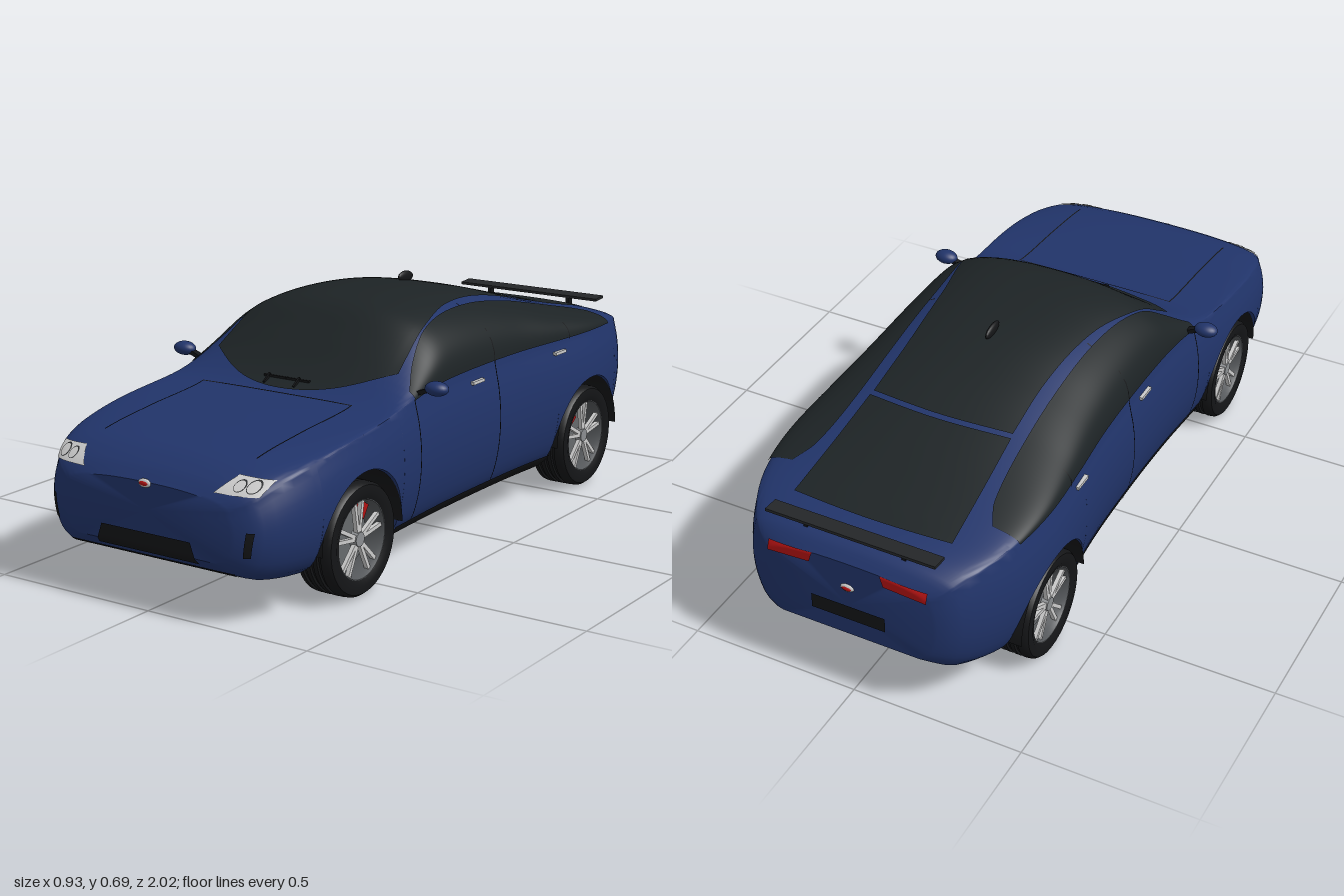
import * as THREE from 'three';
import { toCreasedNormals } from 'three/addons/utils/BufferGeometryUtils.js';

// Smooth interpolation through [x, y] pairs sorted by rising x
function curve(p) {
  const slope = i => {
    const a = p[Math.max(i - 1, 0)], b = p[Math.min(i + 1, p.length - 1)];
    return (b[1] - a[1]) / (b[0] - a[0]);
  };
  return x => {
    x = Math.min(Math.max(x, p[0][0]), p[p.length - 1][0]);
    let i = 0;
    while (i < p.length - 2 && x > p[i + 1][0]) i++;
    const h = p[i + 1][0] - p[i][0], t = (x - p[i][0]) / h, t2 = t * t, t3 = t2 * t;
    return p[i][1] * (2 * t3 - 3 * t2 + 1) + p[i + 1][1] * (3 * t2 - 2 * t3)
      + h * (slope(i) * (t3 - 2 * t2 + t) + slope(i + 1) * (t3 - t2));
  };
}

// Body lines along z: crown, shoulder, floor and half width
const top = curve([[-1, .44], [-.97, .47], [-.92, .487], [-.82, .507], [-.66, .544], [-.5, .587], [-.34, .63], [-.18, .662],
  [-.02, .675], [.1, .67], [.17, .65], [.25, .587], [.33, .52], [.4, .474], [.47, .453], [.68, .437], [.89, .413], [.96, .38], [1, .345]]);
const belt = curve([[-1, .4], [-.95, .445], [-.8, .472], [-.5, .477], [.2, .475], [.4, .455], [.7, .418], [.9, .37], [.97, .33], [1, .3]]);
const floor = curve([[-1, .2], [-.93, .15], [-.8, .115], [-.6, .098], [.5, .095], [.8, .108], [.92, .12], [.97, .138], [1, .17]]);
const width = curve([[-1, .25], [-.985, .285], [-.95, .322], [-.85, .373], [-.75, .4], [-.62, .413], [-.45, .405], [-.25, .39],
  [0, .386], [.2, .39], [.4, .402], [.62, .413], [.8, .403], [.9, .378], [.96, .345], [.985, .312], [1, .27]]);
const flank = curve([[0, .82], [.08, .9], [.2, .95], [.4, .99], [.62, 1], [.82, .983], [1, .945]]);
const N = 2.4, AXLES = [.603, -.614], HUB = .157, ARCH = .187;

// Skin queries used by every fitted part
const crownAt = (x, z, o) => {
  const u = Math.min(Math.abs(x) / (width(z) * .945 + o), 1);
  return belt(z) + (top(z) - belt(z) + o) * Math.pow(1 - Math.pow(u, N), 1 / N);
};
function sideAt(y, z) {
  const b = floor(z), s = belt(z), t = top(z);
  if (y < b || y > t) return -1;
  if (y <= s) return width(z) * flank((y - b) / (s - b));
  return width(z) * .945 * Math.pow(1 - Math.pow((y - s) / (t - s), N), 1 / N);
}
function endAt(x, y, dir) {
  let a = .6, b = 1;
  for (let i = 0; i < 30; i++) {
    const m = (a + b) / 2;
    if (sideAt(y, dir * m) >= Math.abs(x)) a = m; else b = m;
  }
  return dir * a;
}

const paint = (color, side = THREE.FrontSide) => new THREE.MeshStandardMaterial({ color, side });
const BLUE = 0x21346a, GLASS = 0x1d2325, BLACK = 0x141517, SILVER = 0xc4c6c8, RED = 0xb01212;

function add(parent, name, geo, color, pos = [0, 0, 0], rot = [0, 0, 0], side) {
  const m = new THREE.Mesh(geo, paint(color, side));
  m.name = name;
  m.position.set(...pos);
  m.rotation.set(...rot);
  parent.add(m);
  return m;
}

// Grid surface from fn(u, v) -> [x, y, z]
function sheet(parent, name, color, nu, nv, fn) {
  const g = new THREE.PlaneGeometry(1, 1, nu, nv), p = g.attributes.position, uv = g.attributes.uv;
  for (let i = 0; i < p.count; i++) p.setXYZ(i, ...fn(uv.getX(i), uv.getY(i)));
  g.computeVertexNormals();
  return add(parent, name, g, color, undefined, undefined, THREE.DoubleSide);
}
const mix = THREE.MathUtils.lerp;
// Four-cornered patch laid on the nose (dir 1) or tail (dir -1)
function endPatch(parent, name, color, dir, c, lift = .004) {
  sheet(parent, name, color, 16, 8, (u, v) => {
    const x = mix(mix(c[0][0], c[1][0], u), mix(c[3][0], c[2][0], u), v);
    const y = mix(mix(c[0][1], c[1][1], u), mix(c[3][1], c[2][1], u), v);
    return [x, y, endAt(x, y, dir) + dir * lift];
  });
}
function sidePatch(parent, name, color, s, z0, z1, y0, y1, lift = .003) {
  sheet(parent, name, color, 24, 16, (u, v) => {
    const z = mix(z0, z1, u), y = mix(y0, y1, v);
    return [s * (sideAt(Math.max(y, floor(z)), z) + lift), y, z];
  });
}

// Lofted shell with wheel arches cut into the flanks
function bodyGeometry() {
  const zs = [];
  for (let z = -.96; z < .97; z += .03) if (AXLES.every(c => Math.abs(z - c) > ARCH + .005)) zs.push(z);
  for (const e of [.97, .98, .99, .996, 1]) zs.push(e, -e);
  for (const c of AXLES) {
    zs.push(c - ARCH - .0005, c + ARCH + .0005);
    for (let k = 0; k <= 24; k++) zs.push(c - (ARCH - .0001) * Math.cos(k / 24 * Math.PI));
  }
  zs.sort((a, b) => a - b);
  const rings = zs.map(z => {
    const b = floor(z), s = belt(z), w = width(z), inner = Math.min(.27, w * .7);
    const c = AXLES.find(a => Math.abs(z - a) < ARCH);
    const yb = c === undefined ? b : HUB + Math.sqrt(ARCH * ARCH - (z - c) ** 2);
    const half = [[0, b], [inner, b], [inner, yb]];
    for (let k = 0; k <= 14; k++) {
      const y = mix(yb, s, k / 14);
      half.push([w * flank((y - b) / (s - b)), y]);
    }
    for (let k = 1; k <= 20; k++) {
      const t = k / 20 * Math.PI / 2;
      half.push([k === 20 ? 0 : w * .945 * Math.cos(t) ** (2 / N), s + (top(z) - s) * Math.sin(t) ** (2 / N)]);
    }
    return half.concat(half.slice(1, -1).reverse().map(([x, y]) => [-x, y])).map(([x, y]) => [x, y, z]);
  });
  const n = rings[0].length, pos = rings.flat(2), idx = [], last = rings.length - 1;
  for (let i = 0; i < last; i++) for (let j = 0; j < n; j++) {
    const k = (j + 1) % n, a = i * n, b = a + n;
    idx.push(a + j, a + k, b + k, a + j, b + k, b + j);
  }
  pos.push(0, .3, -1, 0, .27, 1);
  for (let j = 0; j < n; j++) {
    const k = (j + 1) % n;
    idx.push(rings.length * n, k, j, rings.length * n + 1, last * n + j, last * n + k);
  }
  const g = new THREE.BufferGeometry();
  g.setAttribute('position', new THREE.Float32BufferAttribute(pos, 3));
  g.setIndex(idx);
  return toCreasedNormals(g, .7);
}

// Wheel for the +x side; inward is the z direction of the caliper
function makeWheel(inward) {
  const w = new THREE.Group(), axis = [0, 0, -Math.PI / 2];
  const lathe = pts => toCreasedNormals(new THREE.LatheGeometry(pts.map(p => new THREE.Vector2(...p)), 48), .6);
  const tread = [[.108, -.053], [.145, -.057], [.153, -.05]];
  for (const x of [-.03, -.005, .02]) tread.push([.155, x - .006], [.149, x - .004], [.149, x + .004], [.155, x + .006]);
  add(w, 'tyre', lathe([...tread, [.153, .045], [.146, .054], [.125, .057], [.108, .05]]), BLACK, undefined, axis, THREE.DoubleSide);
  add(w, 'rimBarrel', lathe([[.11, -.053], [.1, -.03], [.1, .035], [.106, .05], [.111, .05]]), 0x55585b, undefined, axis, THREE.DoubleSide);
  add(w, 'brakeDisc', new THREE.CylinderGeometry(.08, .08, .012, 40), 0x66696c, [0, 0, 0], axis);
  add(w, 'wheelBack', new THREE.CylinderGeometry(.1, .1, .006, 40), 0x2a2c2e, [-.035, 0, 0], axis);
  add(w, 'caliper', new THREE.BoxGeometry(.022, .04, .03), RED, [.015, .066, inward * .042], [inward * .6, 0, 0]);
  add(w, 'hub', new THREE.CylinderGeometry(.02, .024, .02, 10), 0x8a8d90, [.035, 0, 0], axis);
  for (let i = 0; i < 5; i++) for (const d of [-.17, .17]) {
    const a = i / 5 * Math.PI * 2 + d;
    add(w, 'spoke', new THREE.BoxGeometry(.012, .085, .011), SILVER, [.036, .062 * Math.cos(a), .062 * Math.sin(a)], [a, 0, 0]);
  }
  return w;
}

export function createModel() {
  const car = new THREE.Group();
  car.name = 'car';
  add(car, 'body', bodyGeometry(), BLUE);

  // Windscreen with glass roof, then the rear window
  const roofHalf = curve([[0, .305], [.2, .282], [.45, .235], [.75, .212], [1, .212]]);
  sheet(car, 'windscreenAndRoof', GLASS, 36, 60, (u, v) => {
    const s = u * 2 - 1, z = mix(.425 - .125 * s * s, -.49 - .02 * (1 - s * s), v), x = s * roofHalf(v);
    return [x, crownAt(x, z, .005), z];
  });
  sheet(car, 'rearWindow', GLASS, 30, 30, (u, v) => {
    const s = u * 2 - 1, z = mix(-.505 - .02 * (1 - s * s), -.865 - .015 * (1 - s * s), v), x = s * mix(.215, .235, v);
    return [x, crownAt(x, z, .005), z];
  });

  const glassTop = curve([[-.77, .3], [-.7, .268], [-.5, .25], [-.2, .25], [0, .262], [.15, .288], [.25, .318], [.33, .36]]);
  for (const s of [1, -1]) {
    // Side glass, seams and trim
    sheet(car, 'sideWindow', GLASS, 60, 20, (u, v) => {
      const z = mix(.33, -.77, u), xb = width(z) * .945 + .004;
      const end = Math.acos(Math.min(glassTop(z) / xb, 1) ** (N / 2));
      const t = mix(Math.min(.03, end), end, v);
      return [s * xb * Math.cos(t) ** (2 / N), belt(z) + (top(z) - belt(z) + .004) * Math.sin(t) ** (2 / N), z];
    });
    sidePatch(car, 'doorSeam', BLACK, s, .332, .328, .135, .47);
    sidePatch(car, 'doorSeam', BLACK, s, -.098, -.102, .135, .64, .006);
    sidePatch(car, 'windowPillar', BLACK, s, -.498, -.502, .48, .565, .006);
    sidePatch(car, 'sill', BLACK, s, .415, -.425, .096, .135, .004);
    for (const z of [0, -.44])
      add(car, 'doorHandle', new THREE.BoxGeometry(.012, .009, .06), SILVER, [s * (sideAt(.45, z) + .003), .45, z]);
    sheet(car, 'bonnetSeam', BLACK, 2, 30, (u, v) => {
      const x = s * (.248 + .004 * u), z = mix(.44, .86, v);
      return [x, crownAt(x, z, .002), z];
    });

    // Mirror
    add(car, 'mirror', new THREE.SphereGeometry(1, 24, 16), BLUE, [s * .428, .5, .3]).scale.set(.035, .02, .026);
    add(car, 'mirrorStalk', new THREE.BoxGeometry(.06, .012, .02), BLACK, [s * .382, .485, .3], [0, 0, s * .35]);

    // Lights and bumper vents
    endPatch(car, 'headlight', SILVER, 1, [[s * .21, .35], [s * .33, .348], [s * .346, .384], [s * .25, .39]]);
    for (const [x, r] of [[.272, .016], [.308, .018]]) for (const [rr, c, o] of [[r, 0x2a2c2e, .006], [r * .85, 0xd8dadc, .008]])
      sheet(car, 'lamp', c, 20, 2, (u, v) => {
        const px = s * x + rr * v * Math.cos(u * 2 * Math.PI), py = .37 + rr * .8 * v * Math.sin(u * 2 * Math.PI);
        return [px, py, endAt(px, py, 1) + o];
      });
    endPatch(car, 'bumperVent', BLACK, 1, [[s * .3, .195], [s * .318, .195], [s * .33, .262], [s * .311, .262]]);
    endPatch(car, 'tailLight', RED, -1, [[s * .11, .408], [s * .235, .4], [s * .235, .43], [s * .1, .44]]);

    // Wing post and wiper
    add(car, 'wingPost', new THREE.BoxGeometry(.012, .04, .02), BLACK, [s * .145, .487, -.945]);
    add(car, 'wiper', new THREE.BoxGeometry(.075, .006, .008), BLACK, [s * .038, .488, .388]);
    add(car, 'wiperArm', new THREE.BoxGeometry(.006, .008, .035), BLACK, [s * .05 - .01, .483, .4], [.6, 0, 0]);

    // Wheels and arch liners
    AXLES.forEach((z, i) => {
      const w = makeWheel(i ? 1 : -1);
      w.name = i ? 'rearWheel' : 'frontWheel';
      w.position.set(s * .343, HUB - .002, z);
      w.scale.x = s;
      car.add(w);
      add(car, 'archLiner', new THREE.CylinderGeometry(ARCH - .002, ARCH - .002, .125, 36, 1, true, 0, Math.PI), BLACK,
        [s * .335, HUB, z], [0, 0, Math.PI / 2], THREE.DoubleSide);
      add(car, 'wheelWell', new THREE.CircleGeometry(ARCH - .002, 36, 0, Math.PI), BLACK,
        [s * .273, HUB, z], [0, Math.PI / 2, 0], THREE.DoubleSide);
    });
  }
  sheet(car, 'bonnetSeam', BLACK, 30, 2, (u, v) => {
    const x = mix(-.25, .25, u), z = .44 + .004 * v;
    return [x, crownAt(x, z, .002), z];
  });

  // Nose and tail details
  endPatch(car, 'grille', BLACK, 1, [[-.165, .155], [.165, .155], [.145, .212], [-.145, .212]]);
  endPatch(car, 'airDam', BLACK, 1, [[-.268, .132], [.268, .132], [.268, .145], [-.268, .145]]);
  endPatch(car, 'plateRecess', BLACK, -1, [[-.11, .255], [.11, .255], [.11, .3], [-.11, .3]]);
  for (const d of [1, -1]) {
    const y = d > 0 ? .342 : .36, z = endAt(0, y, d);
    add(car, 'badge', new THREE.SphereGeometry(1, 20, 12), SILVER, [0, y, z]).scale.set(.02, .012, .007);
    add(car, 'badgeInset', new THREE.SphereGeometry(1, 20, 12), RED, [0, y, z + d * .003]).scale.set(.015, .007, .006);
  }

  // Wing and roof fin
  add(car, 'wing', new THREE.BoxGeometry(.5, .008, .048), 0x242628, [0, .506, -.955], [.08, 0, 0]);
  add(car, 'roofFin', new THREE.SphereGeometry(1, 20, 12), BLACK, [0, .674, -.205], [-.1, 0, 0]).scale.set(.009, .017, .038);
  return car;
}
